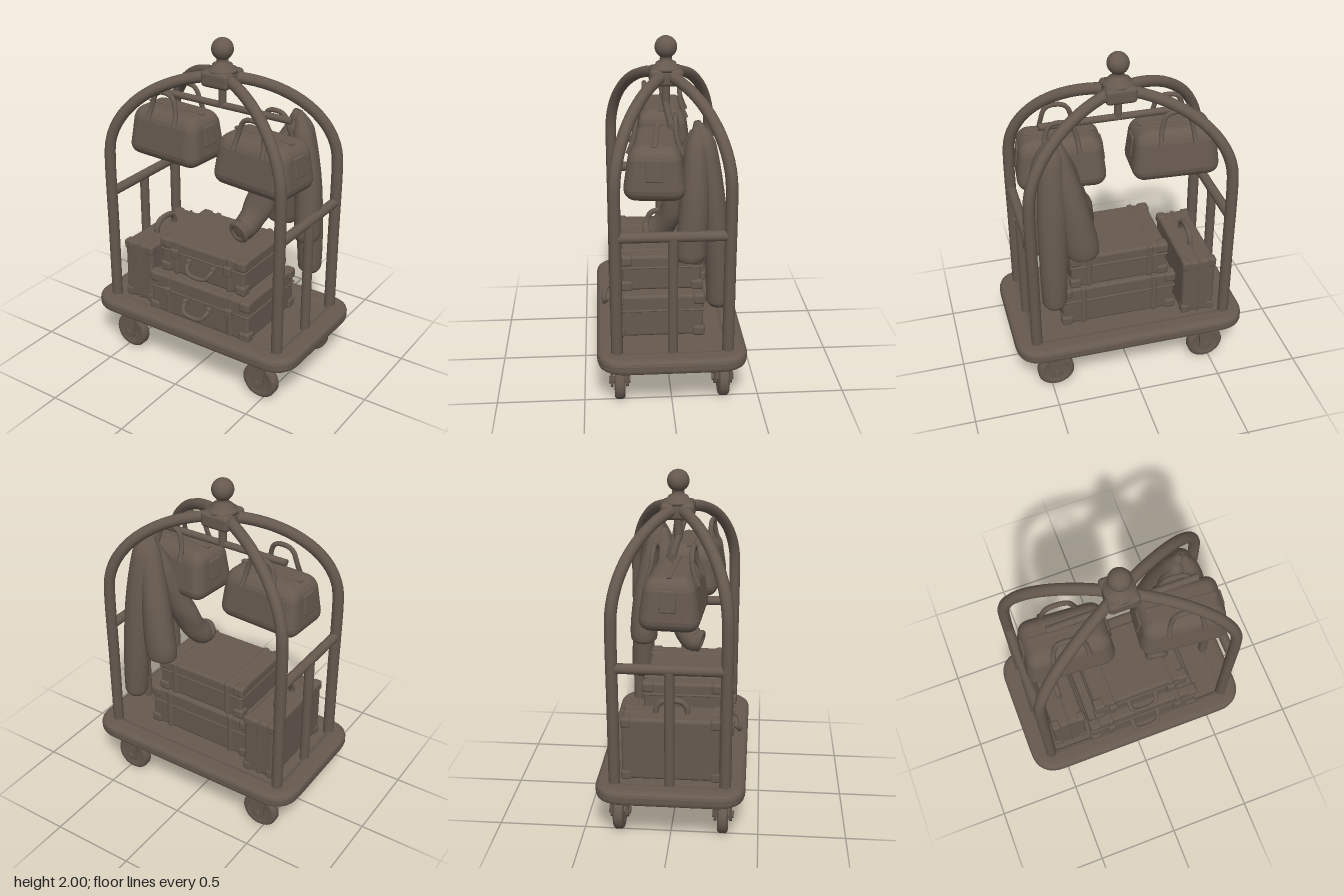
import * as THREE from 'three';
import { RoundedBoxGeometry } from 'three/addons/geometries/RoundedBoxGeometry.js';

const V = (x, y, z) => new THREE.Vector3(x, y, z);

export function createModel() {
  const brown = new THREE.MeshStandardMaterial({ color: 0x66594f });
  brown.name = 'warm brown';
  const root = new THREE.Group();
  root.name = 'luggageCart';

  const add = (parent, name, geo, x = 0, y = 0, z = 0) => {
    const m = new THREE.Mesh(geo, brown);
    m.name = name;
    m.position.set(x, y, z);
    parent.add(m);
    return m;
  };
  const group = (name, x = 0, y = 0, z = 0) => {
    const g = new THREE.Group();
    g.name = name;
    g.position.set(x, y, z);
    root.add(g);
    return g;
  };
  const rbox = (w, h, d, r) => new RoundedBoxGeometry(w, h, d, 3, r);
  const tube = (pts, r, n = 24) => new THREE.TubeGeometry(new THREE.CatmullRomCurve3(pts, false, 'centripetal'), n, r, 10);
  const rod = (r, len, axis = 'y') => {
    const g = new THREE.CylinderGeometry(r, r, len, 18);
    if (axis === 'x') g.rotateZ(Math.PI / 2);
    if (axis === 'z') g.rotateX(Math.PI / 2);
    return g;
  };
  const roundRect = (P, hw, hd, r) => {
    const s = new P();
    s.moveTo(-hw + r, -hd);
    s.lineTo(hw - r, -hd); s.quadraticCurveTo(hw, -hd, hw, -hd + r);
    s.lineTo(hw, hd - r); s.quadraticCurveTo(hw, hd, hw - r, hd);
    s.lineTo(-hw + r, hd); s.quadraticCurveTo(-hw, hd, -hw, hd - r);
    s.lineTo(-hw, -hd + r); s.quadraticCurveTo(-hw, -hd, -hw + r, -hd);
    return s;
  };

  // Platform: bumper rim around a slightly sunken deck
  const rimShape = roundRect(THREE.Shape, 0.665, 0.385, 0.13);
  rimShape.holes.push(roundRect(THREE.Path, 0.61, 0.33, 0.1));
  const rim = new THREE.ExtrudeGeometry(rimShape, { depth: 0.03, bevelEnabled: true, bevelThickness: 0.03, bevelSize: 0.037, bevelSegments: 3, curveSegments: 8 });
  rim.rotateX(-Math.PI / 2);
  add(root, 'platformRim', rim, 0, 0.29, 0);
  const deck = new THREE.ExtrudeGeometry(roundRect(THREE.Shape, 0.65, 0.37, 0.12), { depth: 0.074, bevelEnabled: false });
  deck.rotateX(-Math.PI / 2);
  add(root, 'platformDeck', deck, 0, 0.263, 0);

  // Four corner posts that bend over to the crown
  for (const sx of [-1, 1]) for (const sz of [-1, 1]) {
    const pts = [V(0.58 * sx, 0.33, 0.31 * sz), V(0.58 * sx, 0.8, 0.31 * sz)];
    for (let i = 0; i <= 10; i++) {
      const a = i / 10 * Math.PI / 2;
      pts.push(V(0.58 * sx * Math.cos(a), 1.29 + 0.49 * Math.sin(a), 0.31 * sz * Math.cos(a)));
    }
    add(root, 'archPost', tube(pts, 0.033, 40));
  }

  // Side rails with a middle upright
  for (const sx of [-1, 1]) {
    add(root, 'sideRail', rod(0.029, 0.62, 'z'), 0.58 * sx, 1.04, 0);
    add(root, 'sideUpright', rod(0.028, 0.7), 0.585 * sx, 0.68, 0);
  }

  // Crown, finial and hanging bar
  add(root, 'crownBlock', rbox(0.18, 0.095, 0.19, 0.025), 0, 1.775, 0);
  const finial = [[0, 1.81], [0.09, 1.81], [0.085, 1.825], [0.062, 1.835], [0.057, 1.85], [0.035, 1.862], [0.033, 1.88]];
  for (let i = 0; i <= 10; i++) {
    const a = -0.95 + i / 10 * (Math.PI / 2 + 0.95);
    finial.push([Math.max(0, 0.063 * Math.cos(a)), 1.937 + 0.063 * Math.sin(a)]);
  }
  add(root, 'finial', new THREE.LatheGeometry(finial.map(p => new THREE.Vector2(...p)), 24));
  add(root, 'barStem', rod(0.023, 0.15), 0, 1.675, 0);
  add(root, 'hangingBar', rod(0.02, 0.86, 'x'), 0.02, 1.61, 0);

  // Casters: tyre, hub and a two-sided fork
  const forkShape = new THREE.Shape();
  forkShape.moveTo(-0.052, 0.15);
  forkShape.lineTo(-0.04, 0);
  forkShape.absarc(0, 0, 0.04, Math.PI, Math.PI * 2, false);
  forkShape.lineTo(0.052, 0.15);
  const forkGeo = new THREE.ExtrudeGeometry(forkShape, { depth: 0.016, bevelEnabled: false });
  const tyre = new THREE.LatheGeometry([[0, -0.02], [0.065, -0.02], [0.075, -0.03], [0.098, -0.03], [0.11, -0.018], [0.11, 0.018], [0.098, 0.03], [0.075, 0.03], [0.065, 0.02], [0, 0.02]].map(p => new THREE.Vector2(...p)), 28);
  tyre.rotateX(Math.PI / 2);
  for (const sx of [-1, 1]) for (const sz of [-1, 1]) {
    const c = group('caster', 0.473 * sx, 0.11, 0.297 * sz);
    add(c, 'wheel', tyre);
    add(c, 'axle', rod(0.022, 0.124, 'z'));
    for (const z of [-0.052, 0.036]) add(c, 'forkSide', forkGeo, 0, 0, z);
    add(c, 'forkTop', rbox(0.104, 0.025, 0.104, 0.01), 0, 0.132, 0);
    add(c, 'swivel', rod(0.045, 0.03), 0, 0.148, 0);
  }

  // Suitcases lying flat, with corner caps, straps, latches and a handle
  const suitcase = (name, x, y, z, w, h, d) => {
    const g = group(name, x, y, z);
    add(g, 'body', rbox(w - 0.02, h - 0.01, d - 0.02, 0.018));
    add(g, 'lidSeam', rbox(w - 0.008, 0.012, d - 0.008, 0.005), 0, 0.035, 0);
    for (const sx of [-1, 1]) {
      for (const sy of [-1, 1]) for (const sz of [-1, 1])
        add(g, 'cornerCap', rbox(0.07, 0.065, 0.07, 0.018), sx * (w / 2 - 0.035), sy * (h / 2 - 0.0325), sz * (d / 2 - 0.035));
      add(g, 'strap', rbox(0.035, h - 0.002, d - 0.004, 0.012), sx * w * 0.31, 0, 0);
      add(g, 'latch', rbox(0.05, 0.06, 0.03, 0.01), sx * w * 0.31, 0.03, d / 2);
      add(g, 'handleMount', rbox(0.03, 0.035, 0.03, 0.008), sx * 0.085, 0.005, d / 2);
    }
    const f = d / 2;
    add(g, 'handle', tube([V(-0.085, 0, f), V(-0.08, -0.015, f + 0.03), V(-0.055, -0.045, f + 0.045), V(0.055, -0.045, f + 0.045), V(0.08, -0.015, f + 0.03), V(0.085, 0, f)], 0.013));
  };
  suitcase('lowerSuitcase', 0.045, 0.468, 0.065, 0.71, 0.265, 0.53);
  suitcase('upperSuitcase', 0.04, 0.71, 0.045, 0.6, 0.22, 0.47);

  // Upright case standing on its long edge
  const up = group('uprightCase', -0.428, 0.53, 0);
  add(up, 'body', rbox(0.2, 0.375, 0.55, 0.02));
  add(up, 'seam', rbox(0.014, 0.382, 0.557, 0.005));
  for (const sx of [-1, 1]) for (const sy of [-1, 1]) for (const sz of [-1, 1])
    add(up, 'cornerCap', rbox(0.055, 0.06, 0.06, 0.015), sx * 0.078, sy * 0.162, sz * 0.25);
  add(up, 'handle', tube([V(0, 0.18, -0.09), V(0, 0.22, -0.085), V(0, 0.255, -0.055), V(0, 0.255, 0.055), V(0, 0.22, 0.085), V(0, 0.18, 0.09)], 0.017));

  // Soft travel bags hanging from the bar
  const bag = (name, x, y, z, turn) => {
    const g = group(name, x, y, z);
    g.rotation.y = turn;
    const geo = rbox(0.5, 0.3, 0.33, 0.07);
    const p = geo.attributes.position;
    for (let i = 0; i < p.count; i++) {
      const t = p.getY(i) / 0.3 + 0.5;
      p.setX(i, p.getX(i) * (1.02 - 0.13 * t * t));
      p.setZ(i, p.getZ(i) * (1.02 - 0.26 * t * t));
    }
    geo.computeVertexNormals();
    add(g, 'body', geo);
    add(g, 'zip', rbox(0.4, 0.014, 0.03, 0.006), 0, 0.15, 0);
    for (const s of [-1, 1]) {
      add(g, 'handle', tube([V(-0.1, 0.08, s * 0.145), V(-0.09, 0.16, s * 0.115), V(-0.065, 0.24, s * 0.105), V(-0.035, 0.26, s * 0.105), V(0.035, 0.26, s * 0.105), V(0.065, 0.24, s * 0.105), V(0.09, 0.16, s * 0.115), V(0.1, 0.08, s * 0.145)], 0.014));
      const tab = add(g, 'endTab', rbox(0.02, 0.12, 0.09, 0.008), s * 0.24, 0.03, 0);
      tab.rotation.z = s * 0.12;
    }
  };
  bag('leftHungBag', -0.32, 1.385, 0.005, -0.06);
  bag('rightHungBag', 0.325, 1.375, 0.075, -0.1);

  // Draped coat: folds lofted through rings [x, y, z, width radius, depth radius]
  const loft = (rows, n = 16) => {
    const curve = new THREE.CatmullRomCurve3(rows.map(r => V(r[0], r[1], r[2])));
    const size = new THREE.CatmullRomCurve3(rows.map(r => V(r[3], r[4], 0)));
    const pos = [], idx = [], steps = 20;
    for (let i = 0; i <= steps; i++) {
      const c = curve.getPoint(i / steps), s = size.getPoint(i / steps), T = curve.getTangent(i / steps);
      const u = V(0, 0, 1).cross(T).negate().normalize(), v = T.clone().cross(u);
      for (let j = 0; j < n; j++) {
        const a = j / n * Math.PI * 2;
        const q = c.clone().addScaledVector(u, Math.cos(a) * s.x).addScaledVector(v, Math.sin(a) * s.y);
        pos.push(q.x, q.y, q.z);
        if (i < steps) {
          const a0 = i * n + j, a1 = i * n + (j + 1) % n;
          idx.push(a0, a1, a0 + n, a1, a1 + n, a0 + n);
        }
      }
    }
    const e = steps * n, k = pos.length / 3;
    const first = rows[0], last = rows[rows.length - 1];
    pos.push(first[0], first[1], first[2], last[0], last[1], last[2]);
    for (let j = 0; j < n; j++) {
      const j1 = (j + 1) % n;
      idx.push(k, j1, j, k + 1, e + j, e + j1);
    }
    const geo = new THREE.BufferGeometry();
    geo.setAttribute('position', new THREE.Float32BufferAttribute(pos, 3));
    geo.setIndex(idx);
    geo.computeVertexNormals();
    return geo;
  };
  const coat = group('coat');
  add(coat, 'longFold', loft([[0.41, 1.61, -0.15, 0.02, 0.02], [0.42, 1.5, -0.18, 0.07, 0.06], [0.44, 1.15, -0.23, 0.085, 0.07], [0.45, 0.8, -0.26, 0.08, 0.07], [0.455, 0.6, -0.265, 0.07, 0.07], [0.455, 0.57, -0.265, 0.05, 0.05]]));
  add(coat, 'innerFold', loft([[0.4, 1.62, -0.14, 0.02, 0.02], [0.38, 1.5, -0.16, 0.06, 0.06], [0.32, 1.2, -0.21, 0.085, 0.085], [0.28, 0.95, -0.235, 0.1, 0.085], [0.27, 0.89, -0.235, 0.09, 0.08], [0.27, 0.87, -0.235, 0.06, 0.05]]));
  add(coat, 'outerFold', loft([[0.42, 1.6, -0.14, 0.02, 0.02], [0.45, 1.48, -0.13, 0.06, 0.06], [0.5, 1.2, -0.12, 0.075, 0.08], [0.52, 0.92, -0.1, 0.075, 0.085], [0.52, 0.88, -0.1, 0.065, 0.075]]));
  add(coat, 'sleeve', loft([[0.39, 1.56, -0.13, 0.03, 0.03], [0.34, 1.38, -0.1, 0.07, 0.07], [0.275, 1.15, -0.04, 0.075, 0.07], [0.225, 0.98, 0.02, 0.075, 0.07], [0.2, 0.92, 0.075, 0.07, 0.075], [0.192, 0.91, 0.12, 0.055, 0.06], [0.195, 0.915, 0.1, 0.035, 0.04]].slice(0, 6)));
  const cuff = add(coat, 'cuff', new THREE.TorusGeometry(0.052, 0.018, 8, 20), 0.193, 0.912, 0.115);
  cuff.rotation.set(0.25, -0.2, 0);

  return root;
}
